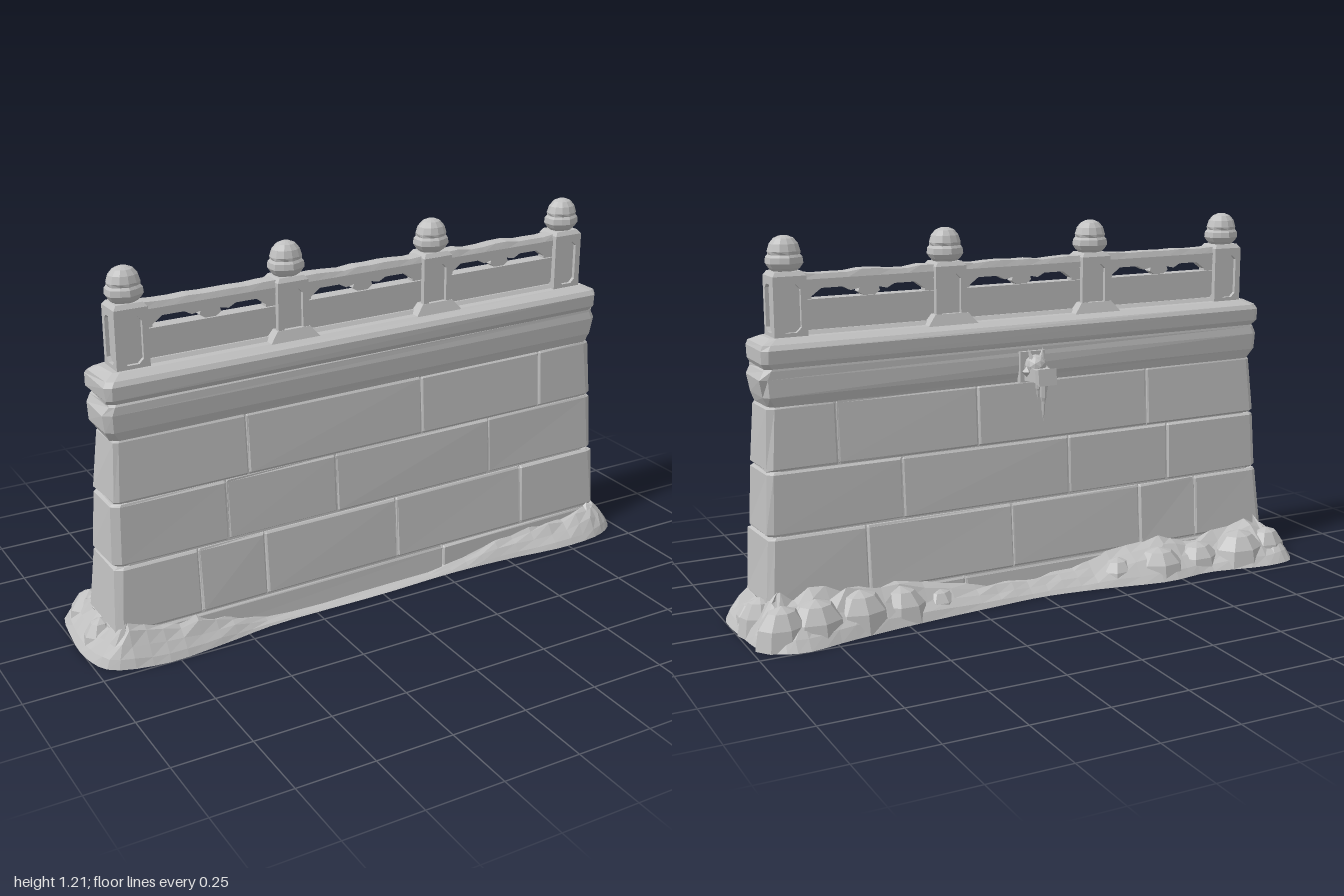
import * as THREE from 'three';

// Double sided because the drift and the wall foot are open shells
const stone = new THREE.MeshStandardMaterial({ color: 0xc0c0c0, flatShading: true, side: THREE.DoubleSide });
stone.name = 'grey stone';

// repeatable small irregularity in -1..1
const noise = (n) => { const s = Math.sin(n * 127.1 + 11.7) * 43758.5453; return (s - Math.floor(s)) * 2 - 1; };
const vec2 = (list) => list.map(([x, y]) => new THREE.Vector2(x, y));

function add(parent, name, geometry, x = 0, y = 0, z = 0) {
  const m = new THREE.Mesh(geometry, stone);
  m.name = name;
  m.position.set(x, y, z);
  parent.add(m);
  return m;
}

// Stone slab between x0 and x1; rows are [y, halfDepth, halfWidth].
// An end given as null follows the half width of the wall.
// open lists box sides to leave out (2 top, 3 bottom).
function slab(rows, x0, x1, seed = 1, open = []) {
  const n = rows.length - 1;
  const g = new THREE.BoxGeometry(1, 1, 1, 3, n, 1);
  const p = g.attributes.position;
  for (let i = 0; i < p.count; i++) {
    const col = Math.round((p.getX(i) + 0.5) * 3);
    const row = Math.round((p.getY(i) + 0.5) * n);
    const side = Math.sign(p.getZ(i));
    const [y, d, w] = rows[row];
    const a = x0 === null ? -w : x0 + 0.002;
    const b = x1 === null ? w : x1 - 0.002;
    const ca = x0 === null ? 0.02 : 0.005, cb = x1 === null ? 0.02 : 0.005;
    const end = (col === 0 && x0 === null) || (col === 3 && x1 === null);
    const inset = end ? 0.013 : (col === 0 || col === 3) ? 0.003 : 0;
    const wear = noise(seed * 31 + row * 7 + col * 3 + side) * (end ? 0.006 : 0.0025);
    p.setXYZ(i, [a, a + ca, b - cb, b][col] + (end ? wear : 0), y, side * (d - inset + wear));
  }
  const index = g.groups.filter((_, k) => !open.includes(k))
    .flatMap(({ start, count }) => Array.from(g.index.array.slice(start, start + count)));
  g.clearGroups();
  g.setIndex(index);
  return g;
}

// Plate with an eight-sided opening, facing +z
function frame(w, h, t) {
  const s = new THREE.Shape(vec2([[-w, 0], [w, 0], [w, h], [-w, h]]));
  const a = w * 0.62, c = w * 0.28, lo = 0.03, hi = h - 0.025;
  s.holes.push(new THREE.Path(vec2([[-a, lo + c], [-a, hi - c], [-a + c, hi], [a - c, hi], [a, hi - c], [a, lo + c], [a - c, lo], [c - a, lo]])));
  return new THREE.ExtrudeGeometry(s, { depth: t, bevelEnabled: false });
}

// Box whose top is scaled by kx, kz
function taper(w, h, d, kx, kz) {
  const g = new THREE.BoxGeometry(w, h, d);
  const p = g.attributes.position;
  for (let i = 0; i < p.count; i++) if (p.getY(i) > 0) p.setXYZ(i, p.getX(i) * kx, p.getY(i), p.getZ(i) * kz);
  return g;
}

function buildWall(wall) {
  // Courses: y0, half depth, half width, y1, half depth, half width, seams, open sides
  const courses = [
    [0, 0.122, 0.93, 0.092, 0.118, 0.922, [0.26], [2, 3]],
    [0.096, 0.116, 0.925, 0.306, 0.1, 0.908, [-0.64, -0.41, 0.08, 0.59], [3]],
    [0.309, 0.093, 0.908, 0.506, 0.084, 0.9, [-0.53, -0.14, 0.46], []],
    [0.509, 0.083, 0.9, 0.705, 0.072, 0.886, [-0.45, 0.19, 0.67], []],
  ];
  courses.forEach(([y0, d0, w0, y1, d1, w1, seams, open], k) => {
    const e = 0.005, c = 0.007;
    const rows = [[y0, d0 - e, w0 - e], [y0 + c, d0, w0], [y1 - c, d1, w1], [y1, d1 - e, w1 - e]];
    const cuts = [null, ...seams, null];
    for (let i = 0; i + 1 < cuts.length; i++) add(wall, 'wallBlock', slab(rows, cuts[i], cuts[i + 1], k * 10 + i, open));
  });
  // Hollow core behind the joints
  add(wall, 'wallCore', slab([[0.002, 0.11, 0.905], [0.3, 0.09, 0.885], [0.7, 0.062, 0.865], [0.84, 0.062, 0.865]], null, null, 3, [3]));
  // Moulding and coping
  add(wall, 'moulding', slab([[0.703, 0.068, 0.882], [0.735, 0.079, 0.902], [0.79, 0.082, 0.905], [0.815, 0.08, 0.895], [0.824, 0.077, 0.888]], null, null, 5));
  add(wall, 'coping', slab([[0.822, 0.08, 0.89], [0.838, 0.09, 0.904], [0.878, 0.091, 0.904], [0.893, 0.082, 0.893], [0.908, 0.055, 0.865]], null, null, 8));
}

function buildPost(x, flared) {
  const post = new THREE.Group();
  post.name = 'railPost';
  post.position.set(x, 0.89, 0);
  add(post, 'postCore', new THREE.BoxGeometry(0.082, 0.198, 0.068), 0, 0.099, 0);
  for (let i = 0; i < 4; i++) {
    const wide = i % 2 === 0, angle = i * Math.PI / 2, out = wide ? 0.033 : 0.04;
    const f = add(post, 'postPanelFrame', frame(wide ? 0.053 : 0.046, 0.2, 0.013), Math.sin(angle) * out, 0, Math.cos(angle) * out);
    f.rotation.y = angle;
  }
  add(post, 'postTop', taper(0.106, 0.014, 0.092, 0.8, 0.8), 0, 0.206, 0);
  if (flared) add(post, 'postFoot', taper(0.19, 0.045, 0.125, 0.6, 0.76), 0, 0.028, 0);
  // Bud finial with a petalled band, narrower front to back
  const profile = [[0.034, 0.208], [0.05, 0.222], [0.06, 0.236], [0.058, 0.254], [0.051, 0.262], [0.052, 0.272], [0.045, 0.294], [0.031, 0.31], [0.014, 0.317], [0, 0.318]];
  const g = new THREE.LatheGeometry(vec2(profile), 12);
  const p = g.attributes.position;
  for (let i = 0; i < p.count; i++) {
    const seg = Math.floor(i / profile.length), row = i % profile.length;
    if (row > 0 && row < 5 && seg % 2) p.setXYZ(i, p.getX(i) * 0.92, p.getY(i), p.getZ(i) * 0.92);
  }
  add(post, 'finial', g).scale.z = 0.84;
  return post;
}

// Pierced railing panel between two posts
function buildRail(x) {
  const rail = new THREE.Group();
  rail.name = 'railing';
  rail.position.x = x;
  const h = 0.222;
  const s = new THREE.Shape(vec2([[-h, 0.895], [h, 0.895], [h, 1.085], [-h, 1.085]]));
  for (const k of [-1, 1]) {
    s.holes.push(new THREE.Path(vec2([[0.018, 1.014], [0.036, 1.026], [0.032, 1.038], [0.06, 1.032], [0.085, 1.045], [0.155, 1.045], [0.187, 1.022], [0.187, 1.014]]
      .map(([a, b]) => [a * k, b]))));
  }
  add(rail, 'railPanel', new THREE.ExtrudeGeometry(s, { depth: 0.03, bevelEnabled: false }), 0, 0, -0.015);
  // Weathered handrail
  const g = new THREE.BoxGeometry(0.444, 0.036, 0.06, 9, 2, 2);
  const p = g.attributes.position;
  for (let i = 0; i < p.count; i++) {
    const px = p.getX(i), py = p.getY(i), upper = py > 0.01;
    const worn = upper ? noise(Math.round(px * 100) + x * 9) * 0.004 : 0;
    p.setXYZ(i, px, py + worn, p.getZ(i) * (upper ? 0.78 : 1));
  }
  add(rail, 'handrail', g, 0, 1.075, 0);
  add(rail, 'midRail', new THREE.BoxGeometry(0.444, 0.012, 0.046), 0, 1.008, 0);
  add(rail, 'footRail', taper(0.444, 0.02, 0.07, 1, 0.6), 0, 0.91, 0);
  return rail;
}

// Beast-head water spout on the back
function buildSpout() {
  const spout = new THREE.Group();
  spout.name = 'waterSpout';
  add(spout, 'spoutPlate', new THREE.BoxGeometry(0.09, 0.1, 0.03), 0, 0.755, -0.078);
  const neck = add(spout, 'spoutNeck', taper(0.062, 0.09, 0.05, 0.85, 0.8), 0, 0.735, -0.125);
  neck.rotation.x = -Math.PI / 2;
  add(spout, 'spoutHead', new THREE.IcosahedronGeometry(0.036, 1), 0, 0.762, -0.112);
  const snout = add(spout, 'spoutSnout', taper(0.05, 0.045, 0.036, 1.3, 1.5), 0, 0.733, -0.17);
  snout.rotation.x = -Math.PI / 2 + 0.12;
  for (const k of [-1, 1]) {
    const horn = add(spout, 'spoutHorn', new THREE.ConeGeometry(0.013, 0.05, 5), k * 0.02, 0.795, -0.115);
    horn.rotation.set(0.25, 0, -k * 0.3);
    add(spout, 'spoutEar', new THREE.OctahedronGeometry(0.017), k * 0.036, 0.745, -0.118);
  }
  // Icicles with a thick root and a thin tip
  for (const [x, z, len, r] of [[0, -0.163, 0.132, 0.012], [0.016, -0.155, 0.06, 0.008], [-0.018, -0.15, 0.045, 0.008]]) {
    const profile = [[0, -len], [r * 0.4, -len * 0.75], [r * 0.55, -len * 0.5], [r * 0.85, -len * 0.4], [r, 0]];
    add(spout, 'icicle', new THREE.LatheGeometry(vec2(profile), 6), x, 0.719, z);
  }
  return spout;
}

// Open drift of ground around the foot: outline points are x, z, height at wall
function buildMound(root) {
  const outline = [
    [-1, 0.1, 0.1], [-0.96, 0.2, 0.12], [-0.8, 0.248, 0.1], [-0.6, 0.232, 0.07], [-0.4, 0.203, 0.022], [0, 0.2, 0.012],
    [0.28, 0.19, 0.02], [0.5, 0.2, 0.06], [0.75, 0.223, 0.075], [0.92, 0.2, 0.1], [0.99, 0.14, 0.1], [0.99, -0.05, 0.11],
    [0.96, -0.2, 0.13], [0.87, -0.25, 0.13], [0.7, -0.22, 0.13], [0.5, -0.187, 0.11], [0.2, -0.155, 0.06], [0, -0.14, 0.05],
    [-0.2, -0.16, 0.07], [-0.45, -0.2, 0.11], [-0.62, -0.18, 0.09], [-0.85, -0.215, 0.12], [-0.96, -0.19, 0.12], [-0.995, -0.05, 0.1],
  ].map(([x, z, h]) => new THREE.Vector3(x, h, z));
  const curve = new THREE.CatmullRomCurve3(outline, true);
  const steps = [[0, 0], [0.14, 0.26], [0.42, 0.58], [0.72, 0.9], [1, 1]];
  const N = 80, R = steps.length, pos = [], faces = [];
  for (let i = 0; i < N; i++) {
    const o = curve.getPoint(i / N);
    const ix = THREE.MathUtils.clamp(o.x, -0.89, 0.89), mid = 0.043 - 0.022 * ix;
    const iz = THREE.MathUtils.clamp(o.z, mid - 0.112, mid + 0.112);
    const j = (i + 1) % N;
    steps.forEach(([t, f], k) => {
      const lump = k ? 1 + 0.16 * noise(i * 5 + k) : 1;
      pos.push(o.x + (ix - o.x) * t, o.y * f * lump, o.z + (iz - o.z) * t);
      if (k < R - 1) faces.push(i * R + k, j * R + k, j * R + k + 1, i * R + k, j * R + k + 1, i * R + k + 1);
    });
  }
  const g = new THREE.BufferGeometry();
  g.setAttribute('position', new THREE.Float32BufferAttribute(pos, 3));
  g.setIndex(faces);
  g.computeVertexNormals();
  add(root, 'groundDrift', g);
  // Rounded lumps: x, z, radius, height
  const lumps = [
    [0.9, -0.16, 0.07, 0.125], [0.79, -0.15, 0.08, 0.125], [0.64, -0.13, 0.08, 0.125], [0.5, -0.115, 0.07, 0.11], [0.93, 0.04, 0.05, 0.085],
    [0.93, -0.04, 0.055, 0.12], [0.92, 0.13, 0.045, 0.07], [0.36, -0.1, 0.055, 0.075], [-0.3, -0.1, 0.06, 0.08], [-0.45, -0.12, 0.075, 0.1],
    [-0.62, -0.1, 0.075, 0.09], [-0.78, -0.12, 0.085, 0.115], [-0.9, -0.12, 0.06, 0.11], [-0.93, 0.05, 0.05, 0.1], [-0.87, 0.16, 0.06, 0.09],
  ];
  lumps.forEach(([x, z, r, h], i) => {
    const m = add(root, 'driftLump', new THREE.SphereGeometry(1, 8, 3, 0, Math.PI * 2, 0, Math.PI / 2), x, 0, z);
    m.scale.set(r * 1.3, h, r);
    m.rotation.y = noise(i) * 0.4;
  });
}

export function createModel() {
  const root = new THREE.Group();
  root.name = 'balustradeWall';
  buildMound(root);
  const wall = new THREE.Group();
  wall.name = 'wall';
  wall.position.z = 0.043;
  wall.rotation.y = 0.022;
  buildWall(wall);
  for (const x of [-0.795, -0.265, 0.265, 0.795]) wall.add(buildPost(x, Math.abs(x) < 0.5));
  for (const x of [-0.53, 0, 0.53]) wall.add(buildRail(x));
  wall.add(buildSpout());
  root.add(wall);
  return root;
}
